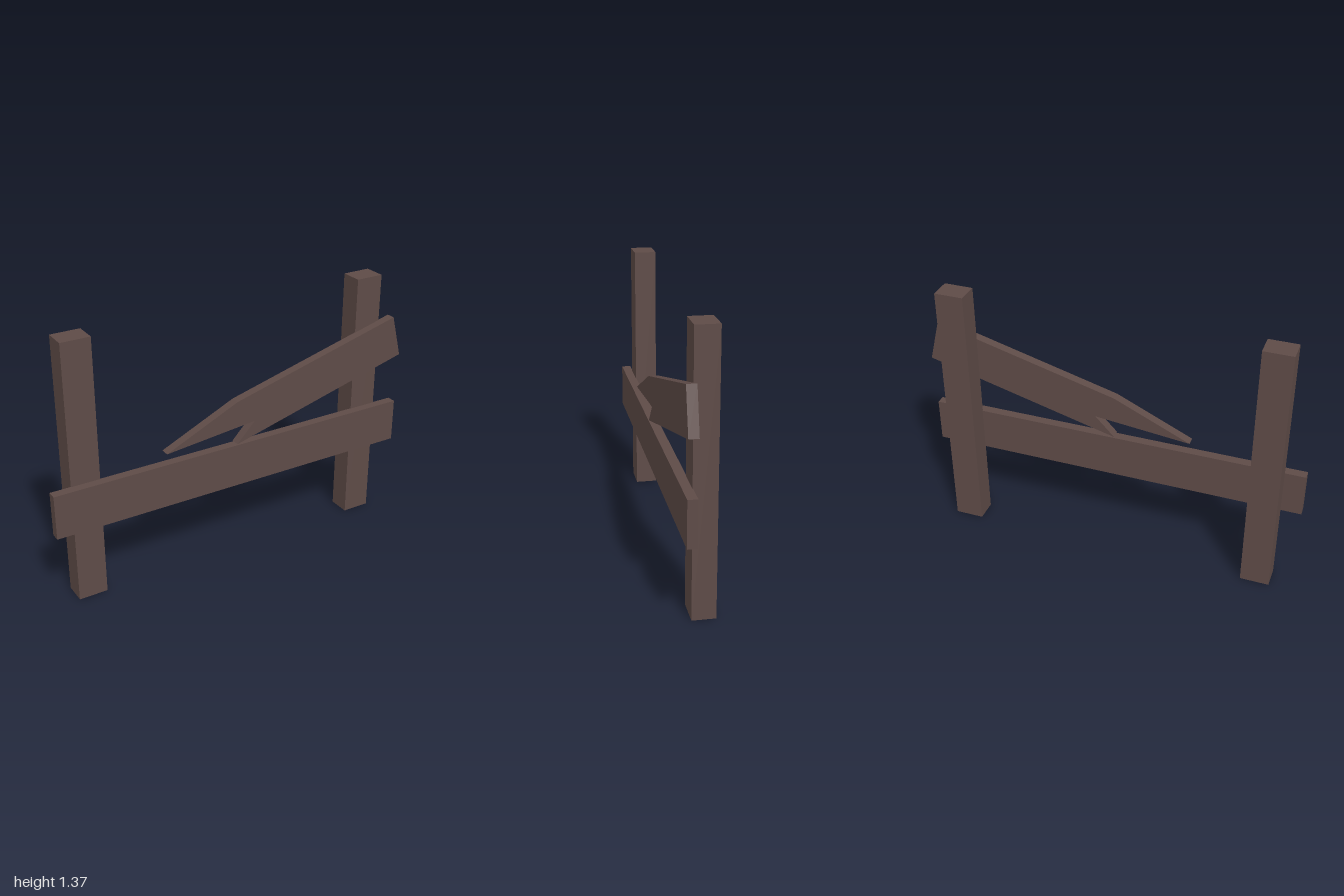
import * as THREE from 'three';

export function createModel() {
  const group = new THREE.Group();
  const wood = new THREE.MeshStandardMaterial({ color: 0x5e4b47, side: THREE.DoubleSide });
  wood.name = 'darkWood';

  const add = (name, geometry, x = 0, y = 0, z = 0) => {
    const mesh = new THREE.Mesh(geometry, wood);
    mesh.name = name;
    mesh.position.set(x, y, z);
    group.add(mesh);
  };

  // Square posts, open underneath
  const height = 1.365;
  for (const [name, x] of [['rightPost', -0.82], ['leftPost', 0.8]]) {
    const post = new THREE.BoxGeometry(0.15, height, 0.115);
    const index = Array.from(post.index.array);
    index.splice(18, 6); // drop the bottom face
    post.setIndex(index);
    post.clearGroups();
    add(name, post, x, height / 2, -0.0225);
  }

  // Intact lower rail
  add('lowerRail', new THREE.BoxGeometry(1.985, 0.23, 0.048), -0.0075, 0.526, 0.056);

  // Snapped, tilted upper rail with a splintered end
  const outline = [
    [-0.41, 0.7], [0.088, 0.752], [-0.013, 0.647],
    [0.995, 0.915], [0.938, 1.135], [-0.013, 0.881],
  ].map(([x, y]) => new THREE.Vector2(x, y));
  const broken = new THREE.ExtrudeGeometry(new THREE.Shape(outline), { depth: 0.048, bevelEnabled: false });
  add('brokenRail', broken, 0, 0, 0.032);

  return group;
}
